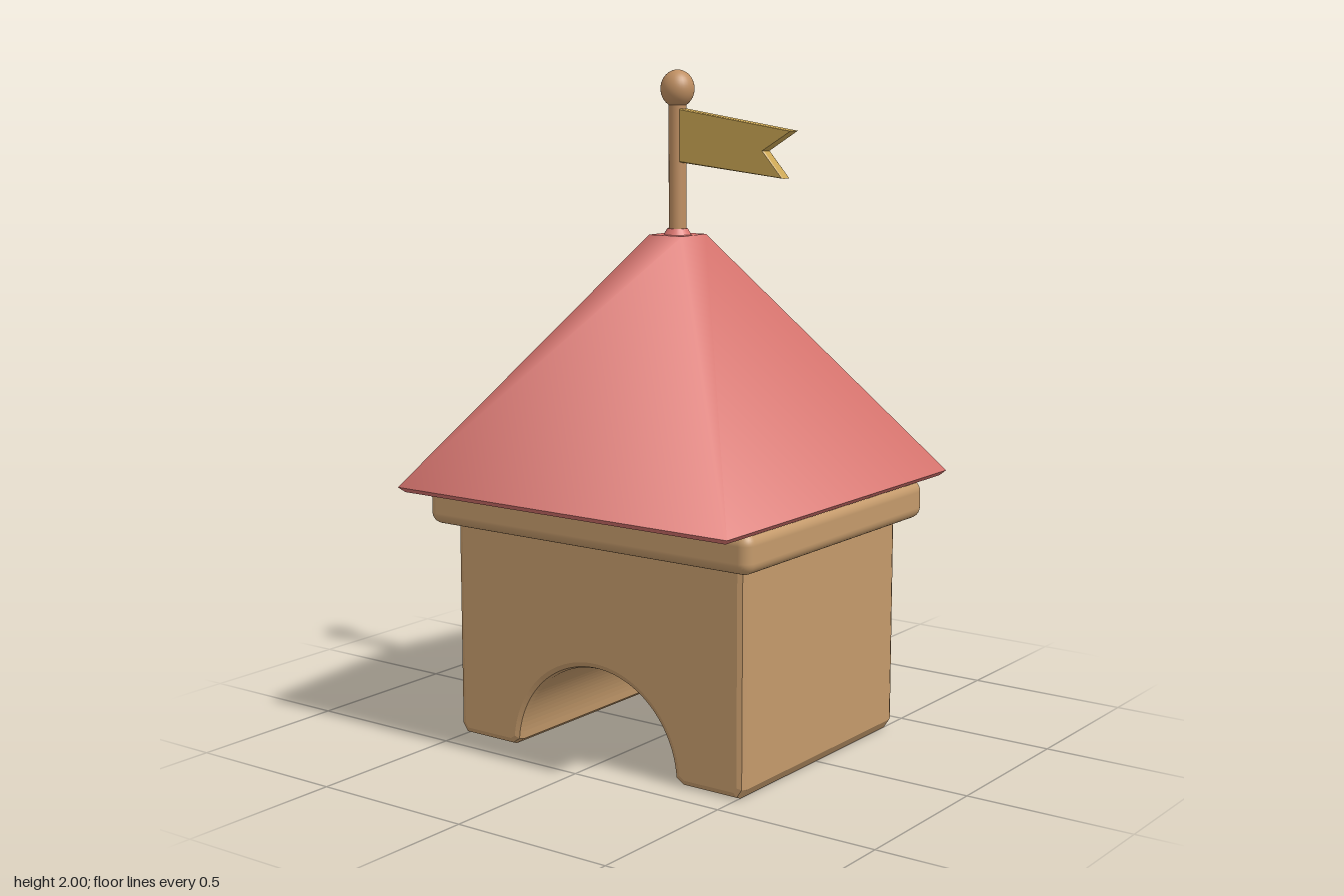
import * as THREE from 'three';
import { RoundedBoxGeometry } from 'three/addons/geometries/RoundedBoxGeometry.js';

const material = (name, color) => {
  const m = new THREE.MeshStandardMaterial({ color });
  m.name = name;
  return m;
};

export function createModel() {
  const group = new THREE.Group();
  const stone = material('sandstone', 0xc49a6b);
  const red = material('roof red', 0xdb7670);
  const wood = material('pole wood', 0xbf8f62);
  const gold = material('flag gold', 0xcba654);

  const add = (name, geometry, mat, x = 0, y = 0, z = 0) => {
    const mesh = new THREE.Mesh(geometry, mat);
    mesh.name = name;
    mesh.position.set(x, y, z);
    group.add(mesh);
    return mesh;
  };

  // Bevelled block with an arched passage running front to back
  const bevel = 0.02;
  const outline = new THREE.Shape();
  outline.moveTo(0.32, 0.02);
  outline.lineTo(0.49, 0.02);
  outline.lineTo(0.5, 0.035);
  outline.lineTo(0.5, 0.68);
  outline.lineTo(-0.5, 0.68);
  outline.lineTo(-0.5, 0.035);
  outline.lineTo(-0.49, 0.02);
  outline.lineTo(-0.32, 0.02);
  const start = 0.1;
  outline.absarc(0, 0, 0.306, Math.PI - start, start, true);
  outline.closePath();
  add('archedBody', new THREE.ExtrudeGeometry(outline, {
    depth: 0.78, bevelEnabled: true, bevelSize: bevel, bevelThickness: bevel,
    bevelSegments: 2, curveSegments: 28,
  }), stone, 0, 0, -0.39);

  // Rounded cornice under the eaves
  add('cornice', new RoundedBoxGeometry(1.16, 0.118, 0.95, 4, 0.035), stone, 0, 0.716, 0);

  // Four-sided roof with softly shaded hips and a thin eaves slab
  const pyramid = (top, bottom, height) =>
    new THREE.CylinderGeometry(top * Math.SQRT2, bottom * Math.SQRT2, height, 4).rotateY(Math.PI / 4);
  add('roof', pyramid(0.06, 0.59, 0.735), red, 0, 1.1525, 0);
  add('eaves', pyramid(0.59, 0.575, 0.015), red, 0, 0.7775, 0);
  add('roofCollar', new THREE.CylinderGeometry(0.03, 0.042, 0.02, 24), red, 0, 1.528, 0);

  // Flagpole with ball finial
  add('pole', new THREE.CylinderGeometry(0.026, 0.026, 0.4, 24), wood, 0, 1.71, 0);
  const ball = add('finial', new THREE.SphereGeometry(0.05, 32, 20), wood, 0, 1.945, 0);
  ball.scale.y = 1.1;

  // Swallow-tailed pennant
  const pennant = new THREE.Shape([
    [0.02, 1.735], [0.377, 1.698], [0.31, 1.773], [0.405, 1.83], [0.02, 1.885],
  ].map(([x, y]) => new THREE.Vector2(x, y)));
  add('flag', new THREE.ExtrudeGeometry(pennant, {
    depth: 0.028, bevelEnabled: true, bevelSize: 0.003, bevelThickness: 0.005, bevelSegments: 1,
  }), gold, 0, 0, -0.014);

  return group;
}
